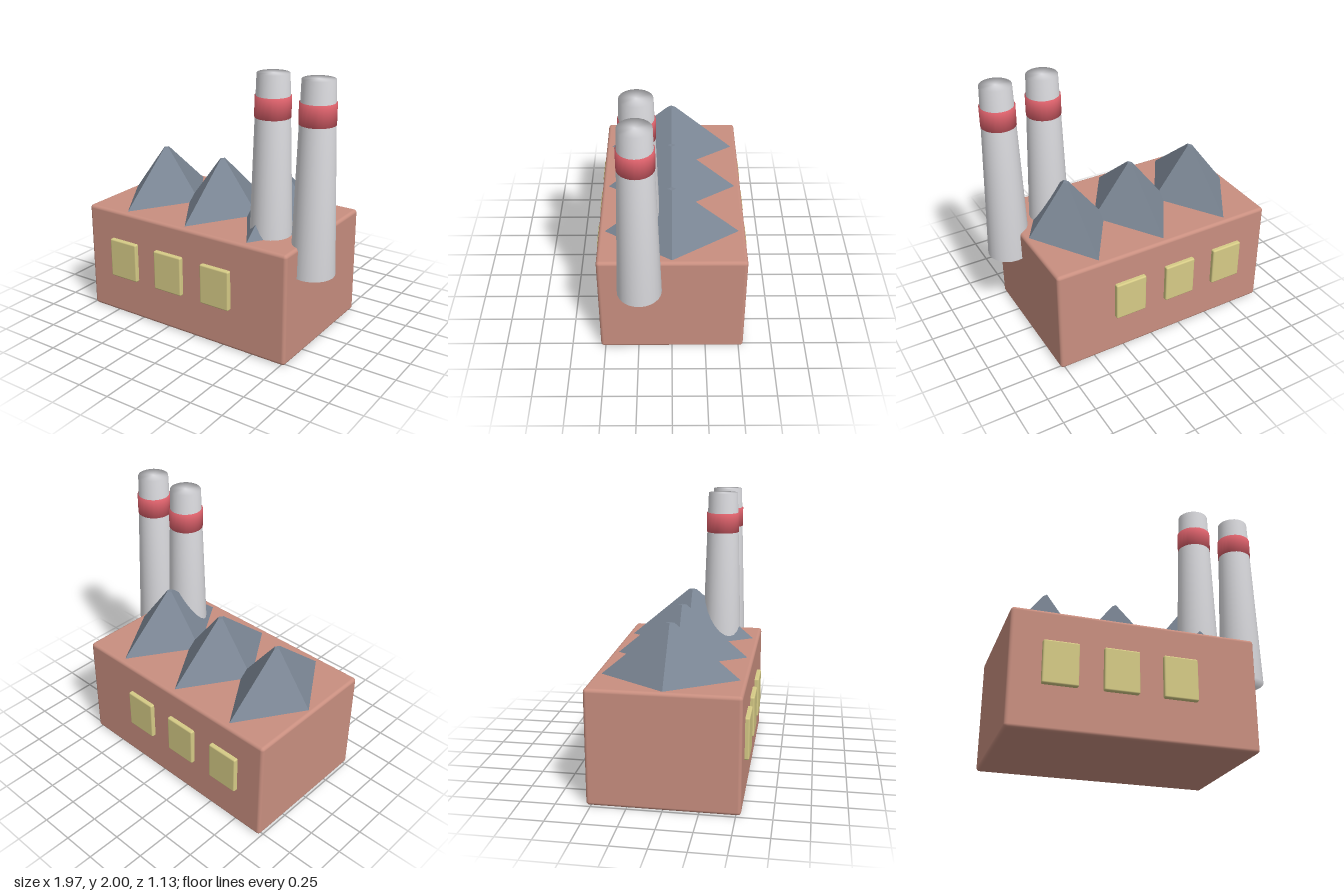
import * as THREE from 'three';
import { mergeVertices } from 'three/addons/utils/BufferGeometryUtils.js';
import { RoundedBoxGeometry } from 'three/addons/geometries/RoundedBoxGeometry.js';

function material(name, color, flatShading = false) {
  const m = new THREE.MeshStandardMaterial({ color, flatShading });
  m.name = name;
  return m;
}

// Cylinder whose normals blend softly over the rims
function softCylinder(rTop, rBottom, height, sides = 24) {
  const g = new THREE.CylinderGeometry(rTop, rBottom, height, sides);
  g.deleteAttribute('normal');
  g.deleteAttribute('uv');
  const merged = mergeVertices(g, 1e-4);
  merged.computeVertexNormals();
  return merged;
}

export function createModel() {
  const factory = new THREE.Group();
  factory.name = 'factory';

  const brick = material('brick', 0xc98f80);
  const slate = material('slate', 0x7b8694, true);
  const concrete = material('concrete', 0xdcdce0);
  const red = material('red', 0xdc616b);
  const glass = material('yellowGlass', 0xd6cb86);

  const add = (name, geometry, mat, x, y, z, parent = factory) => {
    const mesh = new THREE.Mesh(geometry, mat);
    mesh.name = name;
    mesh.position.set(x, y, z);
    parent.add(mesh);
    return mesh;
  };

  // Main hall
  add('hall', new RoundedBoxGeometry(1.77, 0.845, 1.07, 3, 0.025), brick, -0.104, 0.4225, 0);

  // Row of diamond-plan roof peaks with tiny flat tips
  const peakGeometry = new THREE.CylinderGeometry(0.02, 0.315, 0.39, 4);
  peakGeometry.scale(1, 1, 1.555);
  [-0.643, -0.104, 0.434].forEach((x, i) => {
    add('roofPeak' + (i + 1), peakGeometry, slate, x, 1.039, 0);
  });

  // Windows on the front and back walls
  const windowGeometry = new RoundedBoxGeometry(0.25, 0.308, 0.06, 2, 0.012);
  for (const side of [1, -1]) {
    [-0.643, -0.22, 0.203].forEach((x, i) => {
      const name = (side > 0 ? 'frontWindow' : 'backWindow') + (i + 1);
      add(name, windowGeometry, glass, x, 0.466, side * 0.537);
    });
  }

  // Tapered chimneys with a red band
  const shaftGeometry = softCylinder(0.114, 0.16, 1.38);
  const bandGeometry = softCylinder(0.127, 0.127, 0.15);
  [0.474, 0.82].forEach((x, i) => {
    const chimney = new THREE.Group();
    chimney.name = 'chimney' + (i + 1);
    chimney.position.set(x, 0, 0.232);
    add('shaft', shaftGeometry, concrete, 0, 1.31, 0, chimney);
    add('band', bandGeometry, red, 0, 1.772, 0, chimney);
    factory.add(chimney);
  });

  return factory;
}
